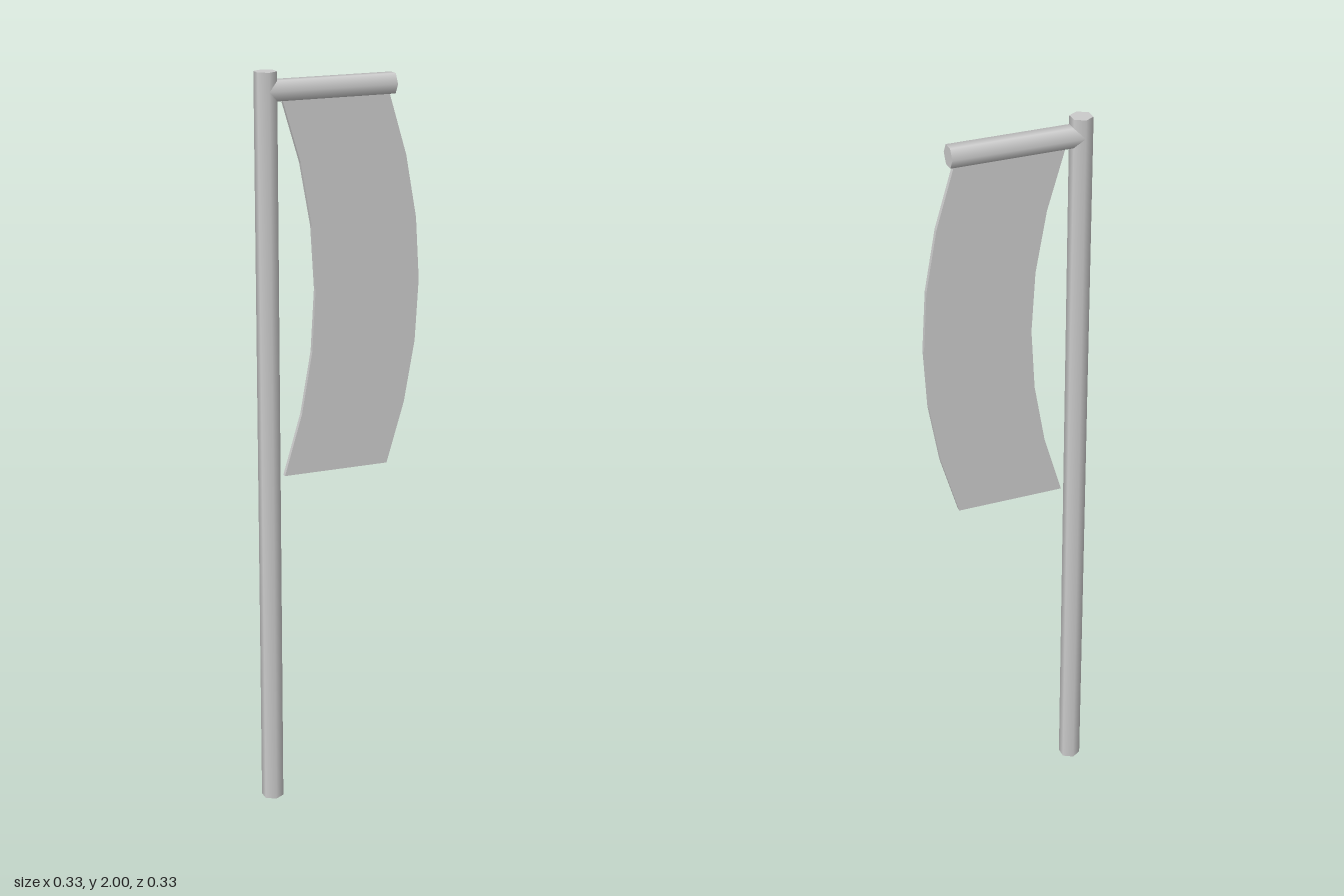
import * as THREE from 'three';

const RADIUS = 0.03;
const POLE_X = -0.196;   // pole position along the banner's own axis
const ARM_END = 0.153;

function makeRod(name, length, material) {
  const rod = new THREE.Mesh(new THREE.CylinderGeometry(RADIUS, RADIUS, length, 6), material);
  rod.name = name;
  return rod;
}

// Cloth outline: both side edges bow outwards by the same curve
function makeClothGeometry() {
  const top = 1.93, height = 1.0, left = -0.154, width = 0.293, bow = 0.089;
  const segments = 6, thickness = 0.0125;
  const edge = [];
  for (let i = 0; i <= segments; i++) {
    const t = i / segments;
    edge.push(new THREE.Vector2(left + bow * 4 * t * (1 - t), top - height * (1 - t)));
  }
  const rightEdge = edge.map((p) => new THREE.Vector2(p.x + width, p.y));
  const shape = new THREE.Shape([...rightEdge, ...edge.reverse()]);
  const geometry = new THREE.ExtrudeGeometry(shape, { depth: thickness, bevelEnabled: false });
  return geometry.translate(0, 0, -thickness / 2);
}

export function createModel() {
  const model = new THREE.Group();
  model.name = 'bannerPole';
  const material = new THREE.MeshStandardMaterial({ color: 0xcccccc });

  // Upright pole
  const pole = makeRod('pole', 2, material);
  pole.position.set(POLE_X, 1, 0);

  // Crossarm from the pole's axis, with flats at top and bottom
  const arm = makeRod('crossarm', ARM_END - POLE_X, material);
  arm.rotation.z = -Math.PI / 2;
  arm.position.set((POLE_X + ARM_END) / 2, 1.951, 0);

  // Hanging cloth
  const cloth = new THREE.Mesh(makeClothGeometry(), material);
  cloth.name = 'bannerCloth';

  // The whole banner stands on the diagonal
  const banner = new THREE.Group();
  banner.name = 'banner';
  banner.add(pole, arm, cloth);
  banner.rotation.y = Math.PI / 4;
  model.add(banner);
  return model;
}
